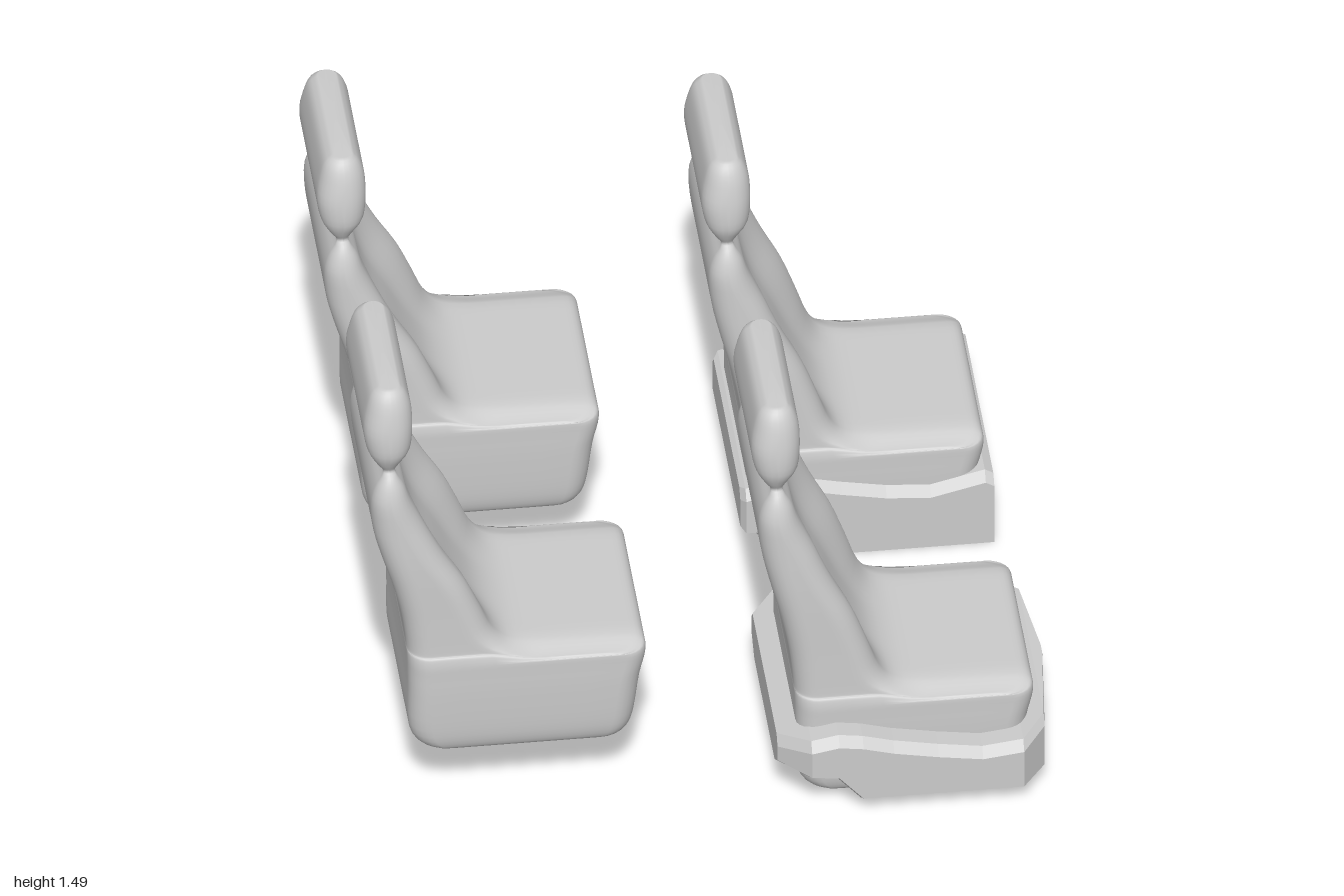
import * as THREE from 'three';

const smooth = (v, a, b) => THREE.MathUtils.smoothstep(v, a, b);

// Closed skin over a list of equal-length rings, with a fan at each end
function loft(rings) {
  const n = rings[0].length, pos = [], idx = [];
  rings.forEach(r => r.forEach(p => pos.push(p.x, p.y, p.z)));
  for (let i = 0; i < rings.length - 1; i++) {
    for (let j = 0; j < n; j++) {
      const a = i * n + j, b = i * n + (j + 1) % n;
      idx.push(a, a + n, b, b, a + n, b + n);
    }
  }
  [0, rings.length - 1].forEach((row, end) => {
    const c = new THREE.Vector3();
    rings[row].forEach(p => c.addScaledVector(p, 1 / n));
    const ci = pos.length / 3;
    pos.push(c.x, c.y, c.z);
    for (let j = 0; j < n; j++) {
      const a = row * n + j, b = row * n + (j + 1) % n;
      if (end) idx.push(ci, b, a); else idx.push(ci, a, b);
    }
  });
  const g = new THREE.BufferGeometry();
  g.setAttribute('position', new THREE.Float32BufferAttribute(pos, 3));
  g.setIndex(idx);
  return g;
}

// Horizontal sections of a seat: height, back x, front x, half width, dish depth
const rows = [
  [.2, -.74, -.33, .24, 0], [.21, -.81, -.26, .285, 0], [.24, -.855, -.23, .305, 0],
  [.3, -.875, -.215, .315, 0], [.42, -.876, -.2, .32, 0], [.49, -.877, -.184, .32, 0],
  [.53, -.878, -.182, .32, 0], [.556, -.879, -.2, .316, 0], [.562, -.879, -.25, .312, 0],
  [.563, -.88, -.4, .31, 0], [.565, -.88, -.5, .308, 0], [.576, -.88, -.58, .307, 0],
  [.62, -.884, -.63, .306, .02], [.7, -.896, -.665, .305, .045], [.8, -.92, -.71, .305, .058],
  [.9, -.95, -.77, .304, .055], [1, -.975, -.82, .3, .04], [1.1, -.983, -.865, .295, .015],
  [1.16, -.97, -.885, .28, 0], [1.195, -.95, -.905, .26, 0], [1.21, -.946, -.91, .243, 0],
  [1.235, -.965, -.895, .255, 0], [1.28, -.99, -.865, .272, 0], [1.35, -1, -.857, .27, 0],
  [1.42, -.99, -.86, .255, 0], [1.465, -.975, -.875, .235, 0], [1.488, -.95, -.895, .21, 0],
];

// Rounded rectangle in x and z, walked from +x towards +z
function roundedRing(x0, x1, w) {
  const r = Math.min(.065, (x1 - x0) * .48), cx = (x0 + x1) / 2, a = (x1 - x0) / 2;
  const pts = [], edges = [6, 16, 6, 16], corner = 6;
  const signs = [[1, 1], [-1, 1], [-1, -1], [1, -1]];
  signs.forEach(([sx, sz], q) => {
    const ox = cx + sx * (a - r), oz = sz * (w - r);
    for (let k = 0; k <= corner; k++) {
      const t = (q + k / corner) * Math.PI / 2;
      pts.push(new THREE.Vector3(ox + r * Math.cos(t), 0, oz + r * Math.sin(t)));
    }
    // straight run to the next corner
    const from = pts[pts.length - 1].clone();
    const [nx, nz] = signs[(q + 1) % 4], t = (q + 1) * Math.PI / 2;
    const to = new THREE.Vector3(
      cx + nx * (a - r) + r * Math.cos(t), 0, nz * (w - r) + r * Math.sin(t));
    for (let k = 1; k < edges[q]; k++) pts.push(from.clone().lerp(to, k / edges[q]));
  });
  return pts;
}

function seatGeometry(lowered) {
  const curve = list => new THREE.CatmullRomCurve3(list, false, 'catmullrom', .5);
  const outline = curve(rows.map(([y, a, b]) => new THREE.Vector3(a, y, b)));
  const extras = curve(rows.map(([, , , w, d]) => new THREE.Vector3(w, d, 0)));
  const count = (rows.length - 1) * 3, rings = [];
  for (let i = 0; i <= count; i++) {
    const { x: x0, y, z: x1 } = outline.getPoint(i / count);
    const { x: w, y: dish } = extras.getPoint(i / count);
    const ring = roundedRing(x0, x1, w);
    ring.forEach(p => {
      const az = Math.abs(p.z);
      // hollow between the side bolsters
      const front = (p.x - x0) / (x1 - x0);
      p.x -= Math.max(dish, 0) * front * (1 - smooth(az, .07, .25));
      // soft side edges of the cushion top
      const drop = smooth(y, .53, .56) * (1 - smooth(y, .565, .62));
      p.y = y - .025 * drop * smooth(p.x, -.66, -.5) * smooth(az, .23, .32);
      // front seats sit lower and have a longer back
      if (lowered) p.y += -.2 + .08 * THREE.MathUtils.clamp((y - .6) / .4, 0, 1);
    });
    rings.push(ring);
  }
  const g = loft(rings);
  g.computeVertexNormals();
  return g;
}

// Base sections along x: x, half width, top, bottom; bevel is the lower edge inset
function baseGeometry(sections, bevel) {
  const rings = sections.map(([x, w, top, bottom]) => {
    const rim = Math.min(.025, w * .4), low = Math.min(bevel, w * .4);
    const half = [[w - low, bottom], [w, bottom + low * .7], [w, top - .03], [w - rim, top]];
    const loop = [...half, ...half.slice().reverse().map(([z, y]) => [-z, y])];
    return loop.map(([z, y]) => new THREE.Vector3(x, y, z));
  });
  const g = loft(rings).toNonIndexed();
  g.computeVertexNormals();
  return g;
}

export function createModel() {
  const model = new THREE.Group();
  const soft = new THREE.MeshStandardMaterial({ color: 0xcccccc });
  const hard = new THREE.MeshStandardMaterial({ color: 0xcccccc, flatShading: true });
  const add = (name, geometry, material, x, z) => {
    const mesh = new THREE.Mesh(geometry, material);
    mesh.name = name;
    mesh.position.set(x, 0, z);
    model.add(mesh);
  };

  // Seats
  const rear = seatGeometry(false), front = seatGeometry(true);
  add('rearSeatLeft', rear, soft, 0, .495);
  add('rearSeatRight', rear, soft, 0, -.61);
  add('frontSeatLeft', front, soft, 1.125, .565);
  add('frontSeatRight', front, soft, 1.125, -.61);

  // Faceted base with cut corners and a pointed front
  add('seatBaseLeft', baseGeometry([
    [.19, .31, .23, .1], [.28, .405, .265, .1], [.36, .405, .28, .09], [.43, .405, .27, .01],
    [.52, .405, .245, .01], [.65, .405, .22, .01], [.78, .405, .2, .01], [.9, .405, .215, .01],
    [.97, .32, .24, .02], [1, .03, .245, .04],
  ], .07), hard, 0, .565);

  // Box base with a stepped underside at the back
  add('seatBaseRight', baseGeometry([
    [.225, .33, .235, .11], [.24, .355, .245, .1], [.36, .355, .28, .1], [.43, .355, .265, 0],
    [.52, .355, .245, 0], [.65, .355, .22, 0], [.78, .355, .21, 0], [.94, .355, .25, 0],
    [.965, .355, .235, 0],
  ], 0), hard, 0, -.62);
  return model;
}
